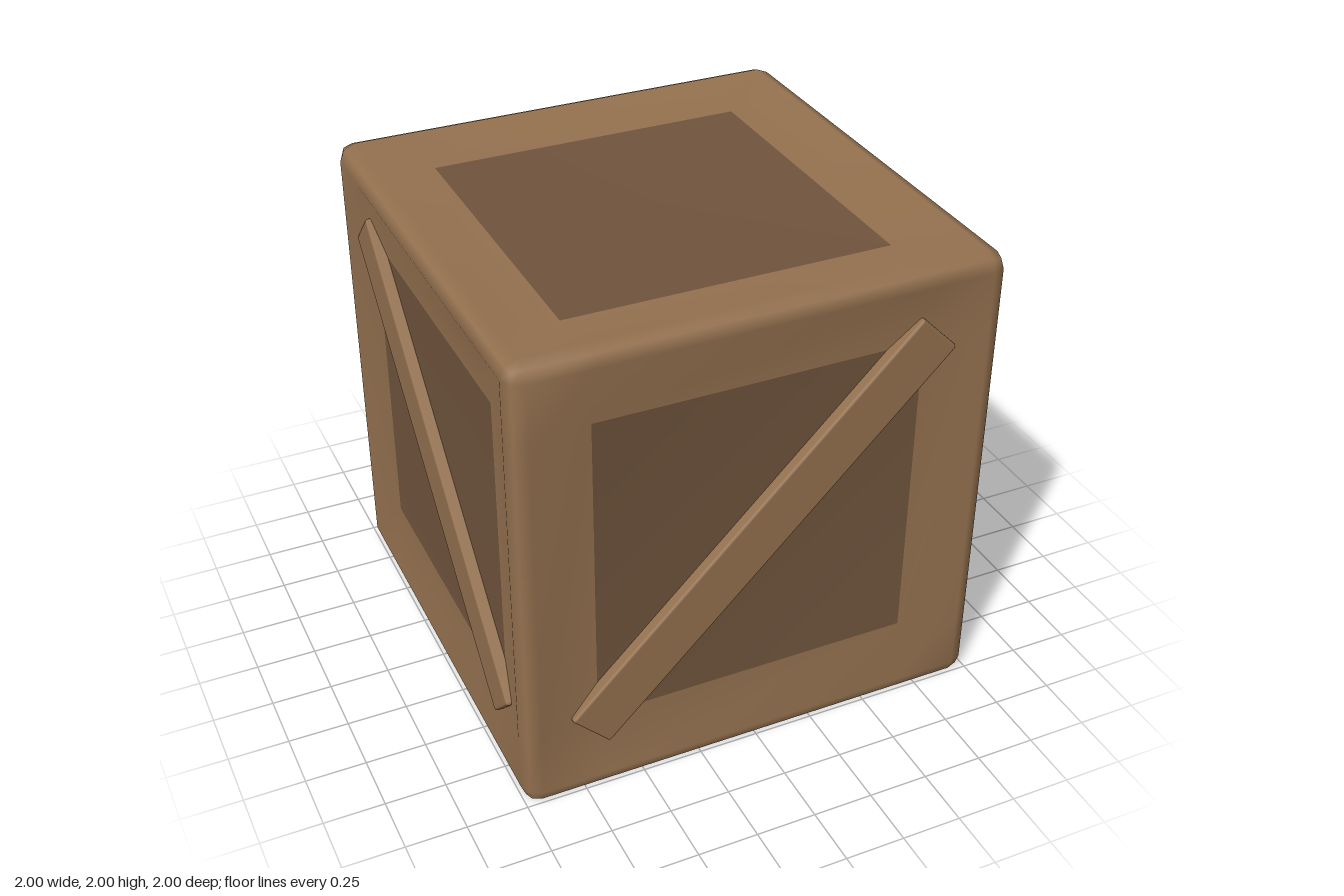
import * as THREE from 'three';
import { mergeVertices } from 'three/addons/utils/BufferGeometryUtils.js';
import { RoundedBoxGeometry } from 'three/addons/geometries/RoundedBoxGeometry.js';

const FLAT = 0.93;    // half size of the flat part of each side
const PANEL = 0.675;  // half size of the dark panel
const BEVEL = 1 - FLAT;
const DISH = 0.052;   // how far the panels sink in
const DROP = 1.021;   // lengthens the lower half so the open rim rests on the ground
const STOPS = [-1, -FLAT, -PANEL, PANEL, FLAT, 1];
const AXES = ['x', 'y', 'z'];

// Bevelled box with dished sides
function shellGeometry() {
  const box = new THREE.BoxGeometry(2, 2, 2, 5, 5, 5);
  box.deleteAttribute('normal');
  box.deleteAttribute('uv');
  const geo = mergeVertices(box);
  const pos = geo.attributes.position;
  const p = new THREE.Vector3(), core = new THREE.Vector3();
  for (let i = 0; i < pos.count; i++) {
    p.fromBufferAttribute(pos, i);
    for (const k of AXES) p[k] = STOPS[Math.round((p[k] + 1) * 2.5)];
    // a panel corner has two coordinates on the panel outline
    const sunk = AXES.filter(k => Math.abs(p[k]) <= PANEL).length === 2;
    core.copy(p).clampScalar(-FLAT, FLAT);
    p.sub(core).setLength(BEVEL - (sunk ? DISH : 0)).add(core);
    pos.setXYZ(i, p.x, 1 + p.y * (p.y < 0 ? DROP : 1), p.z);
  }
  return geo;
}

// Sort the triangles into frame and panels, leaving out the underside
function splitShell(geo) {
  const pos = geo.attributes.position, idx = geo.index.array;
  const frame = [], panel = [];
  const isPanelCorner = j =>
    [pos.getX(j), pos.getY(j) - 1, pos.getZ(j)].filter(a => Math.abs(a) < PANEL + 0.03).length === 2;
  for (let i = 0; i < idx.length; i += 3) {
    const tri = [idx[i], idx[i + 1], idx[i + 2]];
    if (tri.every(j => pos.getY(j) < 0.045)) continue;
    (tri.every(isPanelCorner) ? panel : frame).push(...tri);
  }
  geo.setIndex([...frame, ...panel]);
  geo.computeVertexNormals();
  return [frame, panel].map(list => geo.clone().setIndex(list));
}

export function createModel() {
  const model = new THREE.Group();
  model.name = 'crate';
  const wood = new THREE.MeshStandardMaterial({ color: 0x94714f, side: THREE.DoubleSide });
  const darkWood = new THREE.MeshStandardMaterial({ color: 0x70543d, side: THREE.DoubleSide });

  const [frameGeo, panelGeo] = splitShell(shellGeometry());
  const frame = new THREE.Mesh(frameGeo, wood);
  frame.name = 'frame';
  const panels = new THREE.Mesh(panelGeo, darkWood);
  panels.name = 'panels';
  model.add(frame, panels);

  // Diagonal brace on each upright side, mirrored from one side to the next
  const braceGeo = new RoundedBoxGeometry(2.04, 0.22, 0.06, 1, 0.012);
  for (let i = 0; i < 4; i++) {
    const side = new THREE.Group();
    side.name = 'braceSide' + (i + 1);
    side.rotation.y = i * Math.PI / 2;
    const brace = new THREE.Mesh(braceGeo, wood);
    brace.name = 'brace';
    brace.position.set(0, 1.002, 0.965);
    brace.rotation.z = (i % 2 ? -1 : 1) * Math.PI / 4;
    side.add(brace);
    model.add(side);
  }
  return model;
}
